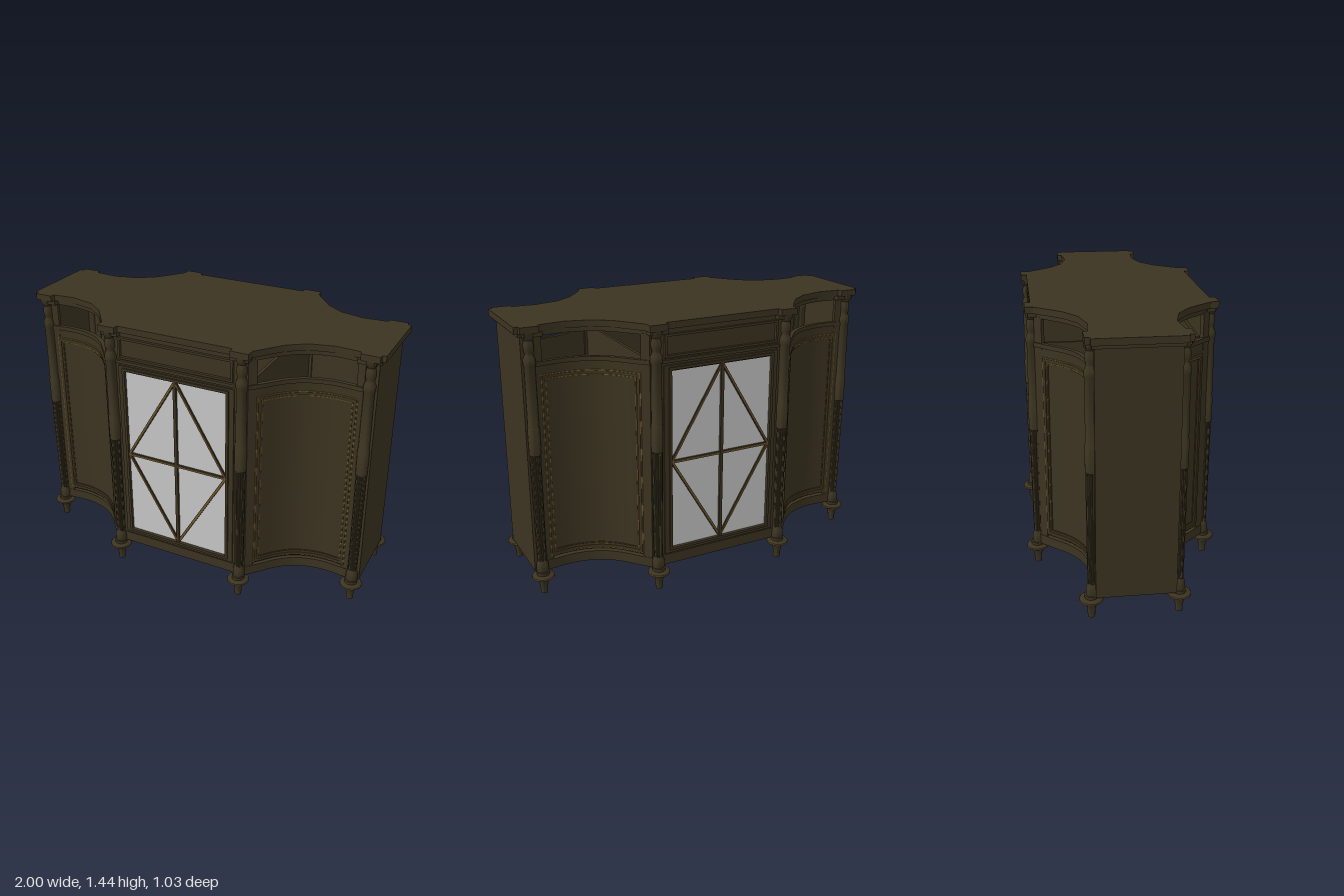
import * as THREE from 'three';
import { mergeGeometries, toCreasedNormals } from 'three/addons/utils/BufferGeometryUtils.js';

const wood = new THREE.MeshStandardMaterial({ color: 0x3c3421 });
wood.name = 'dark wood';
const gilt = new THREE.MeshStandardMaterial({ color: 0x6f562a });
gilt.name = 'gilt trim';
const glass = new THREE.MeshStandardMaterial({ color: 0xc8c8c8 });
glass.name = 'pale glass';

// Plan of one concave wing, from the inner column to the outer one (x, z)
const wingCurve = new THREE.SplineCurve([
  [0.40, 0.44], [0.46, 0.375], [0.53, 0.297], [0.62, 0.235], [0.75, 0.203], [0.905, 0.212],
].map(([x, z]) => new THREE.Vector2(x, z)));

function add(parent, name, geometry, material) {
  const mesh = new THREE.Mesh(geometry, material);
  mesh.name = name;
  parent.add(mesh);
  return mesh;
}

// Box given by its limits
function box(x0, x1, y0, y1, z0, z1) {
  return new THREE.BoxGeometry(x1 - x0, y1 - y0, z1 - z0)
    .translate((x0 + x1) / 2, (y0 + y1) / 2, (z0 + z1) / 2);
}

// Plan outline (x, z) raised from y0 to y1
function raise(points, y0, y1) {
  const geo = new THREE.ExtrudeGeometry(new THREE.Shape(points), { depth: y1 - y0, bevelEnabled: false });
  geo.rotateX(Math.PI / 2).translate(0, y1, 0);
  return toCreasedNormals(geo, 0.6);
}

// Curved slab following the wing: u range, y range, outer and inner offset
function wingSlab(sx, sz, u0, u1, y0, y1, outer, inner) {
  const n = Math.max(1, Math.ceil((u1 - u0) * 20));
  const side = (off) => Array.from({ length: n + 1 }, (_, i) => {
    const u = u0 + (u1 - u0) * i / n;
    const p = wingCurve.getPointAt(u), t = wingCurve.getTangentAt(u);
    return new THREE.Vector2(sx * (p.x - t.y * off), sz * (p.y + t.x * off));
  });
  return raise([...side(outer), ...side(inner).reverse()], y0, y1);
}

// Rectangular moulding made of four curved strips
function wingFrame(sx, sz, u0, u1, y0, y1, w, outer) {
  const wu = w / wingCurve.getLength();
  return mergeGeometries([
    wingSlab(sx, sz, u0, u1, y0, y0 + w, outer, 0),
    wingSlab(sx, sz, u0, u1, y1 - w, y1, outer, 0),
    wingSlab(sx, sz, u0, u0 + wu, y0, y1, outer, 0),
    wingSlab(sx, sz, u1 - wu, u1, y0, y1, outer, 0),
  ]);
}

// Rectangular frame on the flat centre
function flatFrame(x, y0, y1, w, z0, z1) {
  return mergeGeometries([
    box(-x, x, y0, y0 + w, z0, z1), box(-x, x, y1 - w, y1, z0, z1),
    box(-x, -x + w, y0 + w, y1 - w, z0, z1), box(x - w, x, y0 + w, y1 - w, z0, z1),
  ]);
}

// Glazing bar between two points of the door
function bar(x0, y0, x1, y1, w, depth) {
  return new THREE.BoxGeometry(w, Math.hypot(x1 - x0, y1 - y0), depth)
    .rotateZ(-Math.atan2(x1 - x0, y1 - y0))
    .translate((x0 + x1) / 2, (y0 + y1) / 2, 0.442 + depth / 2);
}

function lathe(profile, segments) {
  return new THREE.LatheGeometry(profile.map(([r, y]) => new THREE.Vector2(r, y)), segments);
}

// Turned column with a reeded lower shaft
function columnGeometry() {
  const plain = lathe([[0, 0.11], [0.028, 0.11], [0.032, 0.13], [0.032, 0.165], [0.026, 0.18], [0.023, 0.19]], 20);
  const reeded = lathe([[0.023, 0.19], [0.025, 0.3], [0.028, 0.78]], 32);
  const pos = reeded.attributes.position;
  for (let i = 0; i < pos.count; i++) {
    const k = Math.round(Math.atan2(pos.getZ(i), pos.getX(i)) * 16 / Math.PI) % 2 ? 0.88 : 1.02;
    pos.setX(i, pos.getX(i) * k);
    pos.setZ(i, pos.getZ(i) * k);
  }
  reeded.computeVertexNormals();
  const upper = lathe([[0.026, 0.78], [0.030, 0.783], [0.031, 0.92], [0.028, 0.926], [0.027, 1.24],
    [0.031, 1.25], [0.031, 1.275], [0.022, 1.295], [0.02, 1.303], [0.026, 1.32], [0.026, 1.35],
    [0.02, 1.37], [0.030, 1.385], [0.032, 1.409]], 20);
  return toCreasedNormals(mergeGeometries([plain, reeded, upper]), 0.7);
}

export function createModel() {
  const model = new THREE.Group();
  model.name = 'sideboard';

  // Top board: quarter outline mirrored into a full one
  const quarter = [[0.32, 0.455], [0.322, 0.485], [0.418, 0.485], [0.42, 0.442], [0.47, 0.377], [0.53, 0.303],
    [0.62, 0.24], [0.75, 0.208], [0.875, 0.218], [0.882, 0.243], [0.978, 0.243], [0.98, 0.218], [1, 0.218]];
  const outline = (kx, kz) => {
    const flip = (sx, sz) => quarter.map(([x, z]) => new THREE.Vector2(x * sx * kx, z * sz * kz));
    return [...flip(1, 1), ...flip(1, -1).reverse(), ...flip(-1, -1), ...flip(-1, 1).reverse()];
  };
  add(model, 'topBoard', raise(outline(1, 1), 1.406, 1.44), wood);
  add(model, 'topBoardUnderMoulding', raise(outline(0.98, 0.97), 1.386, 1.408), wood);

  // Floor of the centre bay, in two halves
  add(model, 'centreFloorFront', box(-0.39, 0.39, 0.122, 0.172, 0.002, 0.435), wood);
  add(model, 'centreFloorBack', box(-0.39, 0.39, 0.122, 0.172, -0.435, -0.002), wood);

  // End panels and inner partitions
  for (const s of [-1, 1]) {
    add(model, 'endPanel', box(-0.01, 0.01, 0.122, 1.39, -0.2, 0.2), wood).position.x = s * 0.958;
    add(model, 'innerPartition', box(-0.008, 0.008, 0.187, 1.25, -0.42, 0.42), wood).position.x = s * 0.385;
  }

  // Concave wings, four times
  for (const sx of [-1, 1]) for (const sz of [-1, 1]) {
    const wing = new THREE.Group();
    wing.name = 'curvedWing';
    model.add(wing);
    const slab = (...a) => wingSlab(sx, sz, ...a);
    add(wing, 'curvedPanel', slab(0, 1, 0.19, 1.25, 0, -0.015), wood);
    add(wing, 'panelCornice', slab(0, 1, 1.235, 1.258, 0.008, -0.015), wood);
    add(wing, 'bottomRail', slab(0, 1, 0.122, 0.176, 0.004, -0.032), wood);
    add(wing, 'topRail', slab(0, 1, 1.383, 1.408, 0, -0.02), wood);
    add(wing, 'innerStile', slab(0, 0.08, 0.122, 1.39, 0.002, -0.02), wood);
    add(wing, 'outerStile', slab(0.935, 1, 0.122, 1.39, 0.002, -0.02), wood);
    add(wing, 'outerGiltLine', wingFrame(sx, sz, 0.083, 0.957, 0.196, 1.189, 0.004, 0.005), gilt);
    add(wing, 'outerMoulding', wingFrame(sx, sz, 0.09, 0.95, 0.2, 1.185, 0.016, 0.008), wood);
    add(wing, 'innerGiltLine', wingFrame(sx, sz, 0.123, 0.919, 0.218, 1.167, 0.004, 0.006), gilt);
    add(wing, 'innerMoulding', wingFrame(sx, sz, 0.132, 0.91, 0.223, 1.162, 0.007, 0.004), wood);
  }

  // Flat glazed centre, front and back
  for (const turn of [0, Math.PI]) {
    const centre = new THREE.Group();
    centre.name = 'glazedCentre';
    centre.rotation.y = turn;
    model.add(centre);
    add(centre, 'baseRail', box(-0.38, 0.38, 0.122, 0.18, 0.42, 0.448), wood);
    add(centre, 'sideStiles', mergeGeometries([
      box(-0.385, -0.325, 0.122, 1.39, 0.42, 0.442), box(0.325, 0.385, 0.122, 1.39, 0.42, 0.442)]), wood);
    add(centre, 'doorFrame', flatFrame(0.33, 0.186, 1.222, 0.03, 0.425, 0.45), wood);
    add(centre, 'doorInnerMoulding', flatFrame(0.304, 0.204, 1.212, 0.014, 0.43, 0.46), wood);
    add(centre, 'friezeBoard', box(-0.34, 0.34, 1.222, 1.408, 0.42, 0.44), wood);
    add(centre, 'friezeLedge', box(-0.34, 0.34, 1.236, 1.252, 0.43, 0.455), wood);
    add(centre, 'friezeMoulding', flatFrame(0.325, 1.262, 1.38, 0.012, 0.435, 0.456), wood);
    add(centre, 'doorGlass', box(-0.3, 0.3, 0.21, 1.205, 0.438, 0.442), glass);
    add(centre, 'doorBacking', box(-0.33, 0.33, 0.18, 1.23, 0.43, 0.438), wood);
    add(centre, 'uprightBar', bar(0, 0.215, 0, 1.2, 0.017, 0.014), wood);
    add(centre, 'crossBar', bar(-0.293, 0.706, 0.293, 0.706, 0.016, 0.01), wood);
    add(centre, 'crossBarGilding', bar(-0.293, 0.706, 0.293, 0.706, 0.009, 0.013), gilt);
    for (const s of [-1, 1]) for (const y of [0.217, 1.195]) {
      add(centre, 'diagonalBar', bar(0, y, s * 0.288, 0.706, 0.015, 0.008), wood);
      add(centre, 'diagonalBarGilding', bar(0, y, s * 0.288, 0.706, 0.009, 0.012), gilt);
    }
  }

  // Columns with turned feet; the feet stand slightly further out
  const column = columnGeometry();
  const foot = toCreasedNormals(lathe([[0, 0], [0.018, 0], [0.019, 0.02], [0.022, 0.05], [0.029, 0.075],
    [0.034, 0.088], [0.034, 0.125], [0, 0.125]], 20), 0.7);
  const ring = toCreasedNormals(lathe([[0.03, 0.089], [0.053, 0.089], [0.059, 0.094], [0.059, 0.102]], 24), 0.9);
  const ringTop = toCreasedNormals(lathe([[0.059, 0.102], [0.053, 0.109], [0.03, 0.109]], 24), 0.9);
  for (const [x, z] of [[0.372, 0.452], [0.931, 0.213]]) for (const sx of [-1, 1]) for (const sz of [-1, 1]) {
    const post = new THREE.Group();
    post.name = 'cornerPost';
    post.position.set(sx * x, 0, sz * z);
    model.add(post);
    add(post, 'column', column, wood);
    const leg = new THREE.Group();
    leg.name = 'turnedLeg';
    leg.position.z = sz * 0.006;
    post.add(leg);
    add(leg, 'foot', foot, wood);
    add(leg, 'footRing', ring, gilt);
    add(leg, 'footRingTop', ringTop, wood);
  }
  return model;
}
